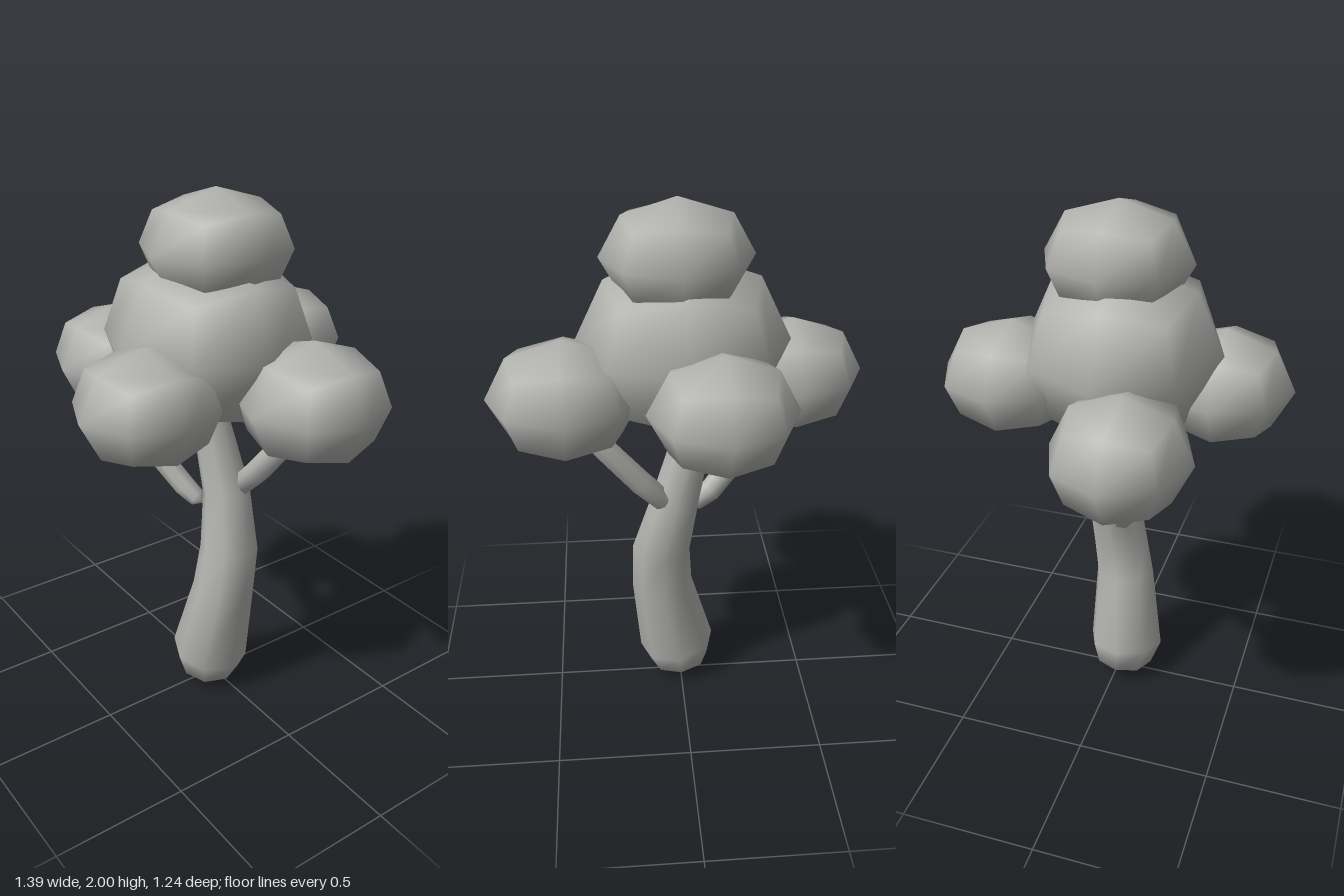
import * as THREE from 'three';
import { mergeVertices } from 'three/addons/utils/BufferGeometryUtils.js';

const clay = new THREE.MeshStandardMaterial({ color: 0xb2b2af });
clay.name = 'clay grey';

// Low-poly ball: a box with 2x2 faces per side, pushed out to an ellipsoid
function clump(name, [x, y, z], [rx, ry, rz]) {
  let geo = new THREE.BoxGeometry(2, 2, 2, 2, 2, 2);
  geo.deleteAttribute('uv');
  geo.deleteAttribute('normal');
  geo = mergeVertices(geo);
  const pos = geo.attributes.position;
  const v = new THREE.Vector3();
  for (let i = 0; i < pos.count; i++) {
    v.fromBufferAttribute(pos, i).normalize();
    pos.setXYZ(i, v.x * rx, v.y * ry, v.z * rz);
  }
  geo.computeVertexNormals();
  const mesh = new THREE.Mesh(geo, clay);
  mesh.name = name;
  mesh.position.set(x, y, z);
  return mesh;
}

// Tapered limb: rings [x, y, z, radius] set square to the path, closed by end points
function limb(name, rings, sides = 8) {
  const pts = rings.map(([x, y, z]) => new THREE.Vector3(x, y, z));
  const positions = [];
  const index = [];
  const last = rings.length - 1;
  rings.forEach((ring, i) => {
    const t = pts[Math.min(i + 1, last)].clone().sub(pts[Math.max(i - 1, 0)]).normalize();
    const u = new THREE.Vector3(1, 0, 0).addScaledVector(t, -t.x).normalize();
    const w = new THREE.Vector3().crossVectors(u, t);
    for (let s = 0; s < sides; s++) {
      const a = (s / sides) * Math.PI * 2;
      const p = pts[i].clone()
        .addScaledVector(u, Math.cos(a) * ring[3])
        .addScaledVector(w, Math.sin(a) * ring[3]);
      positions.push(p.x, p.y, p.z);
      if (i < last) {
        const n = (s + 1) % sides;
        const a0 = i * sides + s, b0 = i * sides + n;
        index.push(a0, a0 + sides, b0, b0, a0 + sides, b0 + sides);
      }
    }
  });
  let geo = new THREE.BufferGeometry();
  geo.setAttribute('position', new THREE.Float32BufferAttribute(positions, 3));
  geo.setIndex(index);
  geo = mergeVertices(geo);
  geo.computeVertexNormals();
  const mesh = new THREE.Mesh(geo, clay);
  mesh.name = name;
  return mesh;
}

export function createModel() {
  const tree = new THREE.Group();
  tree.name = 'tree';

  // Curved trunk with a rounded foot
  tree.add(limb('trunk', [
    [0, 0, 0.02, 0],
    [0.003, 0.045, 0.02, 0.118],
    [0.015, 0.14, 0.027, 0.15],
    [0.073, 0.45, 0.003, 0.119],
    [0.076, 0.63, -0.022, 0.112],
    [0.025, 0.85, -0.045, 0.092],
    [-0.055, 1.16, -0.02, 0.07],
    [-0.07, 1.32, -0.01, 0.055],
    [-0.07, 1.35, -0.01, 0],
  ]));

  // Two branches
  tree.add(limb('rightBranch', [
    [-0.03, 0.79, 0.02, 0],
    [-0.06, 0.8, 0.03, 0.035],
    [-0.12, 0.835, 0.05, 0.043],
    [-0.225, 0.945, 0.1, 0.045],
    [-0.35, 1.12, 0.15, 0.043],
    [-0.41, 1.24, 0.16, 0],
  ]));
  tree.add(limb('leftBranch', [
    [0.04, 0.85, -0.075, 0],
    [0.07, 0.88, -0.08, 0.043],
    [0.155, 0.97, -0.095, 0.047],
    [0.29, 1.135, -0.115, 0.045],
    [0.37, 1.25, -0.115, 0],
  ]));

  // Foliage
  tree.add(clump('topFoliage', [0.01, 1.8, -0.005], [0.27, 0.2, 0.27]));
  tree.add(clump('mainFoliage', [-0.01, 1.475, 0.02], [0.392, 0.335, 0.368]));
  tree.add(clump('rightFoliage', [-0.43, 1.295, 0.14], [0.27, 0.215, 0.248]));
  tree.add(clump('leftFoliage', [0.415, 1.335, -0.113], [0.277, 0.217, 0.26]));
  tree.add(clump('frontFoliage', [0.117, 1.33, 0.358], [0.258, 0.21, 0.26]));
  tree.add(clump('backFoliage', [-0.115, 1.375, -0.362], [0.258, 0.205, 0.26]));

  return tree;
}
